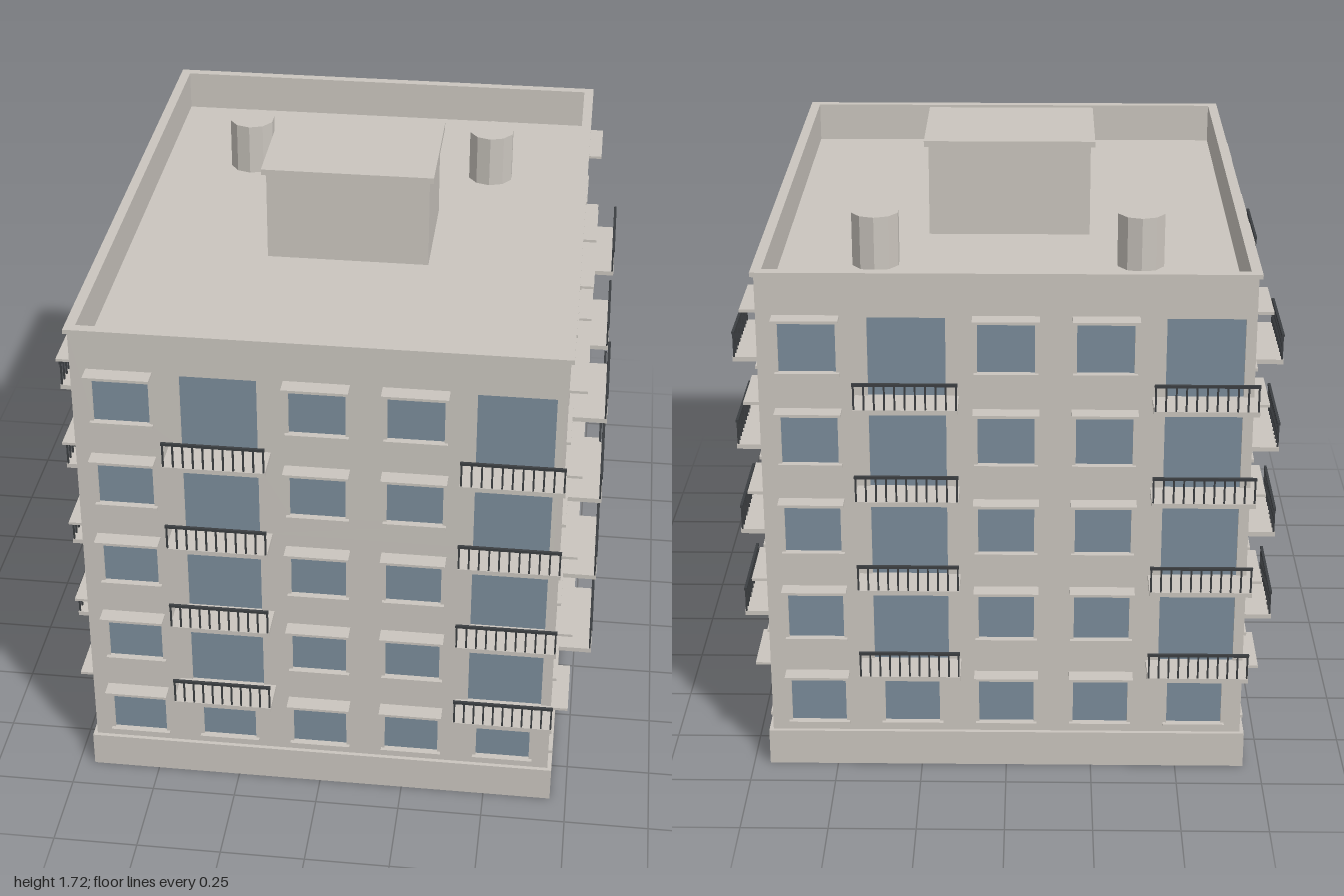
import * as THREE from 'three';

const HX = 0.69, HZ = 0.89, T = 0.02;        // wall half sizes and thickness
const WALL_TOP = 1.53, FLOORS = 5, PITCH = 0.277;
const WIN_BOTTOM = 0.14, WIN_TOP = 0.303, SLAB_Y = 0.335;

const concrete = new THREE.MeshStandardMaterial({ color: 0xcac5be });
concrete.name = 'concrete';
const glass = new THREE.MeshStandardMaterial({ color: 0x7a8c9a });
glass.name = 'window glass';
const metal = new THREE.MeshStandardMaterial({ color: 0x3b3e41 });
metal.name = 'railing metal';

// Box given by its minimum and maximum corners
function box(parent, name, mat, [x0, y0, z0], [x1, y1, z1]) {
  const mesh = new THREE.Mesh(new THREE.BoxGeometry(x1 - x0, y1 - y0, z1 - z0), mat);
  mesh.position.set((x0 + x1) / 2, (y0 + y1) / 2, (z0 + z1) / 2);
  mesh.name = name;
  parent.add(mesh);
  return mesh;
}

// Rectangular ring of four boxes
function ring(parent, name, hx, hz, w, y0, y1) {
  const g = new THREE.Group();
  g.name = name;
  for (const s of [-1, 1]) {
    const z = s * (hz - w / 2), x = s * (hx - w / 2);
    box(g, name + 'Long', concrete, [-hx, y0, z - w / 2], [hx, y1, z + w / 2]);
    box(g, name + 'Short', concrete, [x - w / 2, y0, w - hz], [x + w / 2, y1, hz - w]);
  }
  parent.add(g);
}

function balcony(x, y, width) {
  const g = new THREE.Group();
  g.name = 'balcony';
  const h = width / 2, out = 0.108;
  box(g, 'balconySlab', concrete, [-h, 0, -0.005], [h, 0.014, out + 0.002]);
  box(g, 'handrail', metal, [-h, 0.084, out - 0.006], [h, 0.092, out + 0.002]);
  const bars = 11;
  for (let i = 0; i < bars; i++) {
    const bx = -h + 0.004 + (i / (bars - 1)) * (width - 0.008);
    box(g, 'baluster', metal, [bx - 0.0025, 0.012, out - 0.005], [bx + 0.0025, 0.085, out]);
  }
  g.position.set(x, y, 0);
  return g;
}

// One facade whose outer face lies at z = 0, facing +z
function facade(name, half, f) {
  const g = new THREE.Group();
  g.name = name;
  const shape = new THREE.Shape([[-half, 0], [half, 0], [half, WALL_TOP], [-half, WALL_TOP]]
    .map(p => new THREE.Vector2(...p)));
  for (let k = 0; k < FLOORS; k++) {
    for (let c = 0; c < f.cols; c++) {
      const x = (c - (f.cols - 1) / 2) * f.step;
      const balconyColumn = f.balconies.includes(c);
      const door = balconyColumn && k > 0;
      const h = (door ? f.door : f.win) / 2;
      const top = WIN_TOP + k * PITCH;
      const slab = SLAB_Y + (k - 1) * PITCH;
      const bottom = door ? slab + 0.012 : WIN_BOTTOM + k * PITCH;
      // opening and pane
      shape.holes.push(new THREE.Path([[-h, bottom], [-h, top], [h, top], [h, bottom]]
        .map(p => new THREE.Vector2(x + p[0], p[1]))));
      box(g, door ? 'balconyDoor' : 'windowPane', glass,
        [x - h, bottom, -0.014], [x + h, top, -0.009]);
      if (door) {
        g.add(balcony(x, slab, f.slab));
      } else {
        const s = h + 0.01, a = h + 0.013;
        box(g, 'windowSill', concrete, [x - s, bottom - 0.009, -0.009], [x + s, bottom, 0.012]);
        if (!balconyColumn)
          box(g, 'windowCanopy', concrete, [x - a, top - 0.002, -0.005], [x + a, top + 0.006, 0.05]);
      }
    }
  }
  const wall = new THREE.Mesh(
    new THREE.ExtrudeGeometry(shape, { depth: T, bevelEnabled: false }), concrete);
  wall.position.z = -T;
  wall.name = 'wall';
  g.add(wall);
  return g;
}

export function createModel() {
  const model = new THREE.Group();
  model.name = 'apartmentBlock';

  // Facades: opposite sides are the same, turned half round
  const endSpec = { cols: 5, step: 0.276, win: 0.16, door: 0.217, slab: 0.29, balconies: [1, 4] };
  const sideSpec = { cols: 6, step: 0.298, win: 0.18, door: 0.24, slab: 0.312, balconies: [1, 4] };
  [['frontFacade', 0], ['leftFacade', 1], ['backFacade', 2], ['rightFacade', 3]].forEach(([name, q]) => {
    const end = q % 2 === 0;
    const side = facade(name, end ? HX : HZ - T, end ? endSpec : sideSpec);
    const a = q * Math.PI / 2;
    side.rotation.y = a;
    side.position.set(Math.sin(a) * HX, 0, Math.cos(a) * HZ);
    model.add(side);
  });

  // Plinth and parapet coping
  ring(model, 'plinth', 0.702, 0.902, 0.025, 0, 0.11);
  ring(model, 'coping', 0.7, 0.9, 0.03, WALL_TOP, 1.543);

  // Roof deck, stair house and vents
  box(model, 'roofDeck', concrete, [-HX + T, 1.4, -HZ + T], [HX - T, 1.42, HZ - T]);
  box(model, 'stairHouse', concrete, [-0.243, 1.42, -0.18], [0.243, 1.697, 0.18]);
  box(model, 'stairHouseRoof', concrete, [-0.256, 1.697, -0.195], [0.256, 1.715, 0.195]);
  for (const s of [-1, 1]) {
    const geo = new THREE.CylinderGeometry(0.071, 0.071, 0.16, 10).toNonIndexed();
    geo.computeVertexNormals();
    const vent = new THREE.Mesh(geo, concrete);
    vent.position.set(s * 0.387, 1.5, -0.452);
    vent.name = 'roofVent';
    model.add(vent);
  }
  return model;
}
